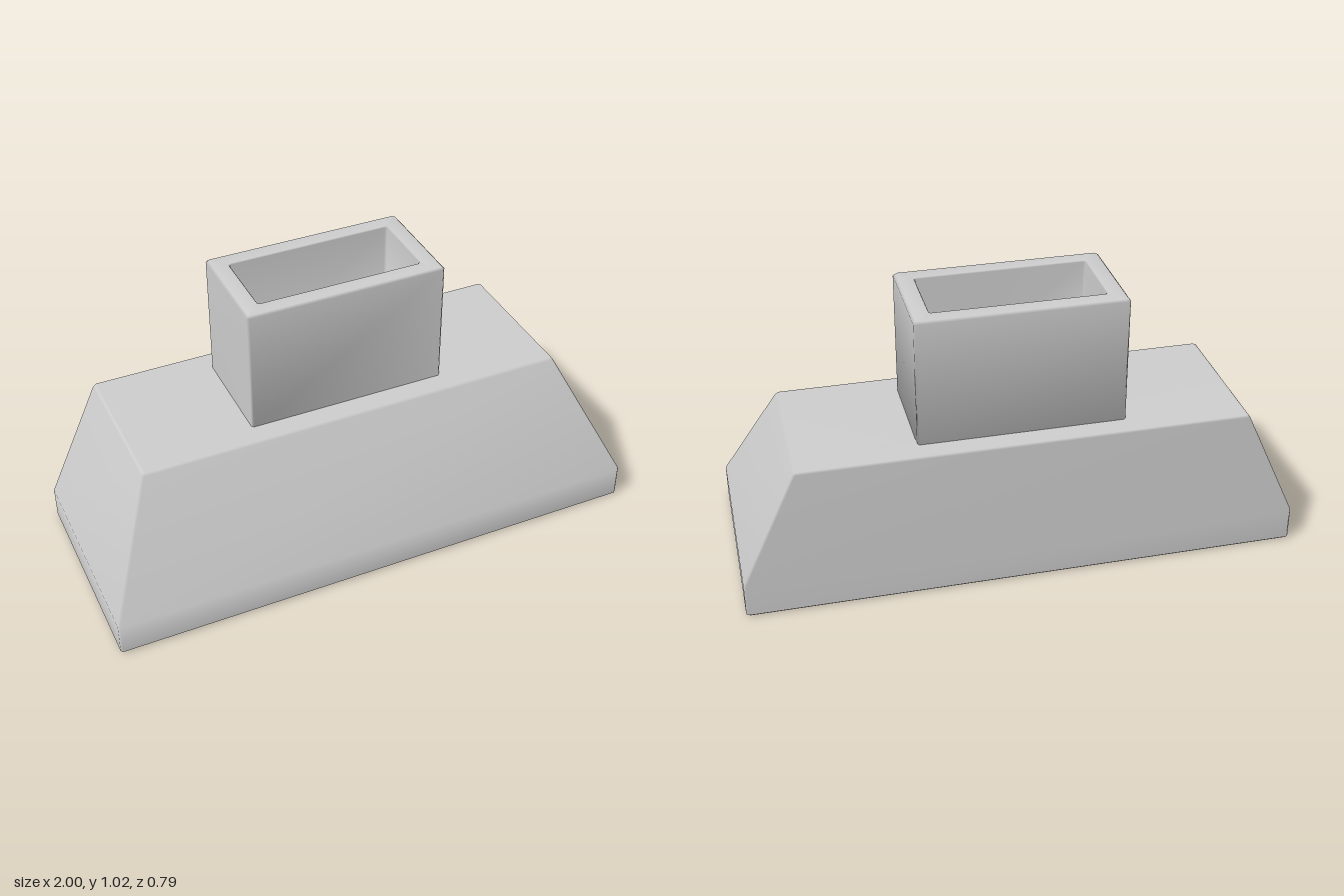
import * as THREE from 'three';

const BEVEL = 0.008;

// Rectangle with slightly cut corners at height y, ordered around +y
function ring([y, x0, x1, z0, z1], c = BEVEL) {
  return [
    [x0 + c, y, z1], [x1 - c, y, z1], [x1, y, z1 - c], [x1, y, z0 + c],
    [x1 - c, y, z0], [x0 + c, y, z0], [x0, y, z0 + c], [x0, y, z1 - c],
  ];
}

// Skin a stack of rectangles and close both ends
function loft(sections) {
  const positions = [], index = [], n = 8;
  sections.forEach((s) => ring(s).forEach((p) => positions.push(...p)));
  for (let r = 0; r < sections.length - 1; r++) {
    for (let i = 0; i < n; i++) {
      const a = r * n + i, b = r * n + (i + 1) % n;
      index.push(a, b, b + n, a, b + n, a + n);
    }
  }
  const last = (sections.length - 1) * n;
  for (let i = 1; i < n - 1; i++) {
    index.push(0, i + 1, i);
    index.push(last, last + i, last + i + 1);
  }
  const geometry = new THREE.BufferGeometry();
  geometry.setAttribute('position', new THREE.Float32BufferAttribute(positions, 3));
  geometry.setIndex(index);
  geometry.computeVertexNormals();
  return geometry;
}

export function createModel() {
  const group = new THREE.Group();
  group.name = 'rangeHood';
  const material = new THREE.MeshStandardMaterial({ color: 0xcccccc });
  const add = (name, sections) => {
    const mesh = new THREE.Mesh(loft(sections), material);
    mesh.name = name;
    group.add(mesh);
  };
  const b = BEVEL;

  // Canopy: upright lower band, sloped front and sides, vertical back
  add('canopy', [
    [0, -1 + b, 1 - b, -0.395 + b, 0.395 - b],
    [b, -1, 1, -0.395, 0.395],
    [0.125, -1, 1, -0.395, 0.395],
    [0.55, -0.803, 0.803, -0.395, 0.167],
    [0.558, -0.797, 0.797, -0.39, 0.16],
  ]);

  // Hollow duct: up the outside, over the rim and down to the inner floor
  const [x, z0, z1, top, wall] = [0.37, -0.315, 0.082, 1.022, 0.065];
  const inset = (y, d) => [y, -x + d, x - d, z0 + d, z1 - d];
  add('duct', [
    inset(0.55, 0),
    inset(top - b, 0),
    inset(top, b),
    inset(top, wall - b / 2),
    inset(top - b / 2, wall),
    inset(0.57, wall),
  ]);

  return group;
}
